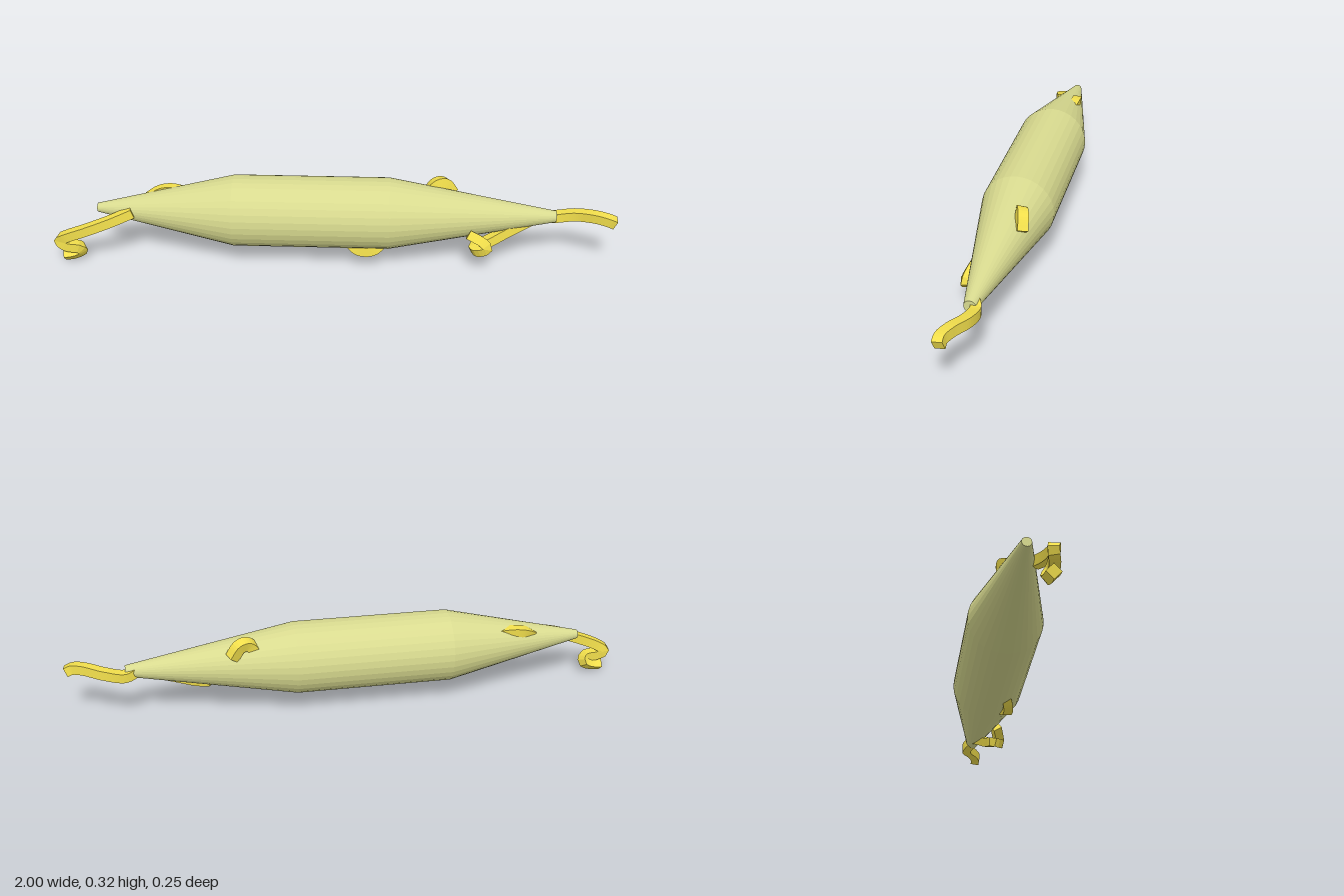
import * as THREE from 'three';

const AXIS_Y = 0.187;

export function createModel() {
  const group = new THREE.Group();
  const bodyMat = new THREE.MeshStandardMaterial({ color: 0xd8da8f, flatShading: true });
  const strandMat = new THREE.MeshStandardMaterial({ color: 0xf2df4c, flatShading: true });

  // Spindle body: a cylinder with long tapered ends, lying along x
  const profile = [
    [0, -0.84], [0.016, -0.84], [0.127, -0.35], [0.127, 0.2], [0.02, 0.79], [0, 0.79],
  ].map(([r, x]) => new THREE.Vector2(r, x));
  const bodyGeo = new THREE.LatheGeometry(profile, 32);
  bodyGeo.rotateZ(-Math.PI / 2);
  const body = new THREE.Mesh(bodyGeo, bodyMat);
  body.name = 'body';
  body.position.y = AXIS_Y;
  group.add(body);

  // Square-section strand swept along a curve
  function strand(name, points, size = 0.034) {
    const h = size / 2;
    const section = new THREE.Shape([
      new THREE.Vector2(-h, -h), new THREE.Vector2(h, -h),
      new THREE.Vector2(h, h), new THREE.Vector2(-h, h),
    ]);
    const path = new THREE.CatmullRomCurve3(points.map((p) => new THREE.Vector3(...p)));
    const geo = new THREE.ExtrudeGeometry(section, {
      steps: points.length * 5, extrudePath: path, bevelEnabled: false,
    });
    const mesh = new THREE.Mesh(geo, strandMat);
    mesh.name = name;
    group.add(mesh);
  }

  // Strands trailing off the two ends
  strand('leftEndStrand', [
    [0.75, 0.187, 0], [0.79, 0.176, -0.018], [0.86, 0.188, -0.012],
    [0.93, 0.198, 0.018], [0.97, 0.195, 0.034], [0.992, 0.186, 0.034],
  ]);
  strand('rightEndStrand', [
    [-0.71, 0.193, 0.04], [-0.79, 0.165, 0.062], [-0.88, 0.13, 0.068], [-0.95, 0.1, 0.062],
    [-0.978, 0.08, 0.054], [-0.955, 0.062, 0.06], [-0.91, 0.055, 0.06],
    [-0.905, 0.038, 0.05], [-0.935, 0.023, 0.053], [-0.968, 0.018, 0.055],
  ]);

  // Curled strand under the left taper
  strand('curledStrand', [
    [0.7, 0.175, 0.005], [0.62, 0.138, 0.025], [0.55, 0.104, 0.045], [0.505, 0.09, 0.06],
    [0.515, 0.09, 0.08], [0.545, 0.105, 0.085], [0.53, 0.122, 0.08], [0.48, 0.145, 0.066],
  ]);

  // Short loops breaking through the body surface
  strand('upperLoop', [
    [0.33, 0.23, -0.045], [0.365, 0.28, -0.053], [0.395, 0.28, -0.063], [0.425, 0.24, -0.068],
  ], 0.036);
  strand('lowerLoop', [
    [0.06, 0.1, 0.05], [0.095, 0.073, 0.064], [0.145, 0.073, 0.064], [0.18, 0.1, 0.05],
  ]);
  strand('rearLoop', [
    [-0.66, 0.215, -0.025], [-0.62, 0.235, -0.04], [-0.58, 0.241, -0.042], [-0.53, 0.235, -0.035],
  ]);
  return group;
}
